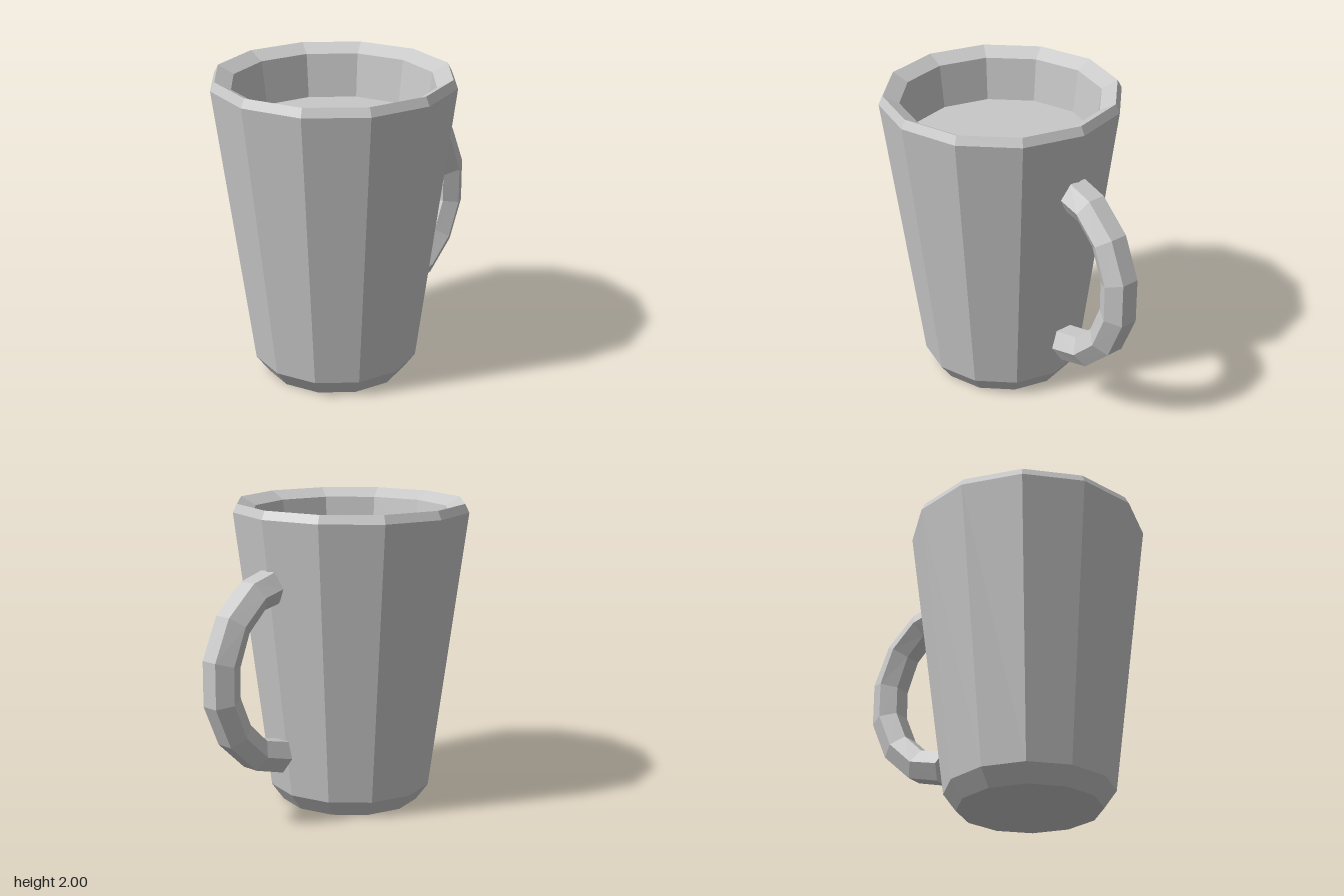
import * as THREE from 'three';

const SIDES = 12;

// Bent hexagonal bar: each station gives its outer and inner edge in the xy plane
function hexBar(stations, halfWidth) {
  const rings = stations.map(([ox, oy, ix, iy]) =>
    Array.from({ length: 6 }, (_, k) => {
      const a = Math.PI / 6 + (k * Math.PI) / 3;
      const s = Math.cos(a) / Math.cos(Math.PI / 6) / 2;
      return [
        (ox + ix) / 2 + (ox - ix) * s,
        (oy + iy) / 2 + (oy - iy) * s,
        halfWidth * Math.sin(a),
      ];
    })
  );
  const pos = [];
  const tri = (a, b, c) => pos.push(...a, ...b, ...c);
  for (let i = 0; i < rings.length - 1; i++) {
    for (let k = 0; k < 6; k++) {
      const n = (k + 1) % 6;
      tri(rings[i][k], rings[i][n], rings[i + 1][n]);
      tri(rings[i][k], rings[i + 1][n], rings[i + 1][k]);
    }
  }
  // End caps
  const first = rings[0];
  const last = rings[rings.length - 1];
  for (let k = 1; k < 5; k++) {
    tri(first[0], first[k + 1], first[k]);
    tri(last[0], last[k], last[k + 1]);
  }
  const geo = new THREE.BufferGeometry();
  geo.setAttribute('position', new THREE.Float32BufferAttribute(pos, 3));
  geo.computeVertexNormals();
  return geo;
}

export function createModel() {
  const group = new THREE.Group();
  group.name = 'mug';
  const grey = new THREE.MeshStandardMaterial({ color: 0xc8c8c8, flatShading: true });
  grey.name = 'light grey';

  const add = (name, geometry) => {
    const mesh = new THREE.Mesh(geometry, grey);
    mesh.name = name;
    group.add(mesh);
    return mesh;
  };

  // Tapered body: base, foot bevel, wall, rim bevel, sloping lip and inner wall
  const profile = [
    [0, 0], [0.46, 0], [0.54, 0.11], [0.78, 1.945],
    [0.752, 2], [0.65, 1.945], [0.61, 1.66],
  ].map(([r, y]) => new THREE.Vector2(r, y));
  add('body', new THREE.LatheGeometry(profile, SIDES)).position.x = -0.22;

  // Flat surface of the drink inside
  const surface = new THREE.CircleGeometry(0.61, SIDES).rotateX(-Math.PI / 2);
  add('drinkSurface', surface).position.set(-0.22, 1.66, 0);

  // Handle, from its upper end round to its lower end
  add('handle', hexBar([
    [0.51, 1.62, 0.47, 1.42],
    [0.68, 1.57, 0.59, 1.395],
    [0.885, 1.385, 0.72, 1.27],
    [1.0, 1.12, 0.8, 1.06],
    [1.0, 0.83, 0.8, 0.87],
    [0.885, 0.565, 0.72, 0.68],
    [0.68, 0.375, 0.585, 0.55],
    [0.45, 0.31, 0.4, 0.505],
  ], 0.118));

  return group;
}
